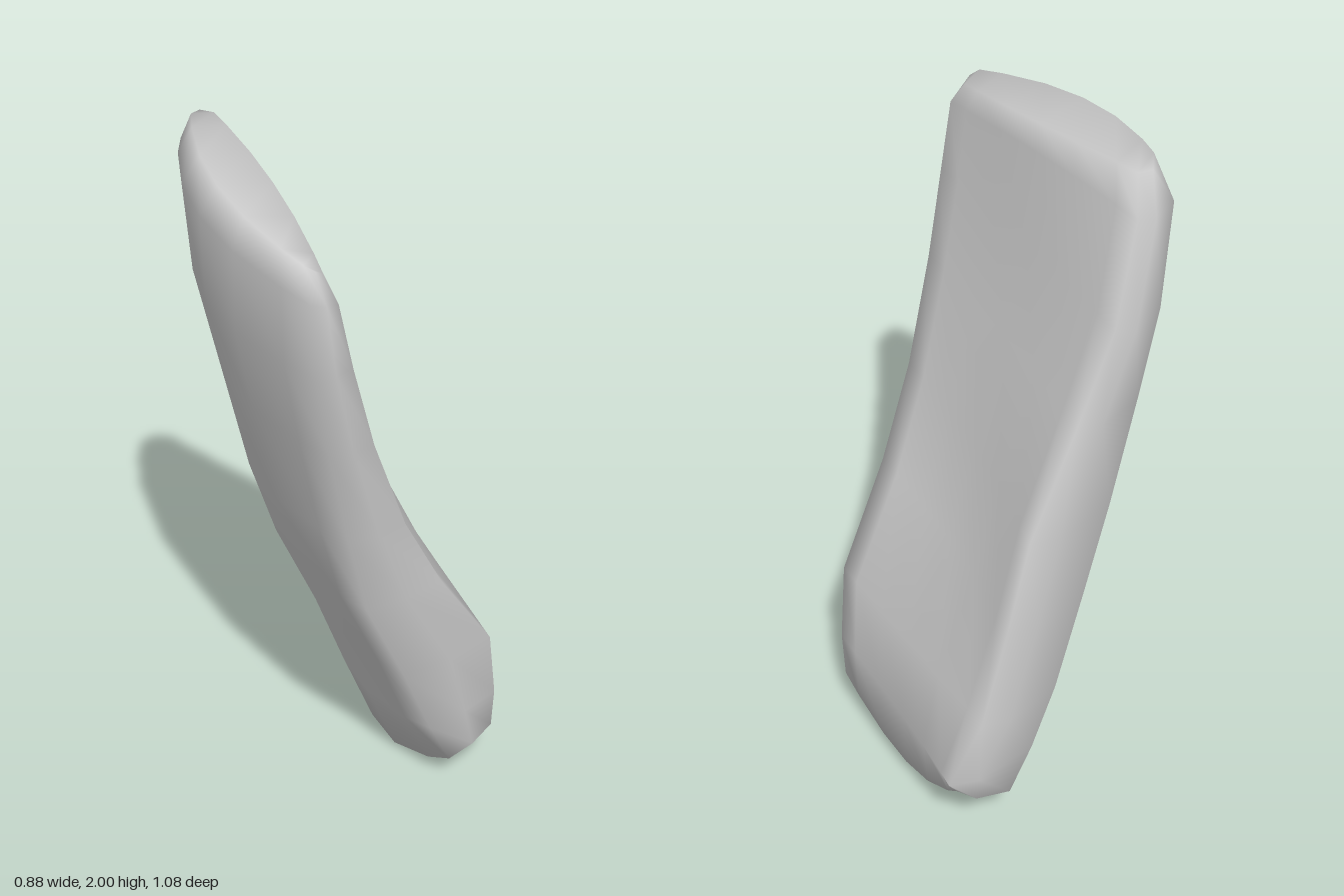
import * as THREE from 'three';

// Each ring: corners [x, y, z] in the order front-left, front-right,
// back-right, back-left as drawn on the plan, then front bulge,
// back hollow and mid-edge drop.
const rings = [
  [[-0.3, 0.2, -0.37], [0.38, 0.1, -0.04], [0.41, 0.16, -0.19], [-0.2, 0.25, -0.49], 0.1, 0.02, 0.147],
  [[-0.335, 0.35, -0.31], [0.39, 0.28, 0.06], [0.425, 0.3, -0.18], [-0.205, 0.32, -0.54], 0.125, 0.03, 0.05],
  [[-0.36, 0.53, -0.23], [0.385, 0.53, 0.17], [0.44, 0.53, -0.13], [-0.27, 0.53, -0.47], 0.13, 0.0, 0],
  [[-0.385, 0.82, -0.13], [0.375, 0.82, 0.31], [0.425, 0.82, 0.07], [-0.3, 0.82, -0.39], 0.14, 0.025, 0],
  [[-0.405, 1.08, -0.04], [0.385, 1.08, 0.39], [0.425, 1.08, 0.22], [-0.315, 1.08, -0.305], 0.145, 0.03, 0],
  [[-0.425, 1.38, 0.05], [0.39, 1.38, 0.465], [0.435, 1.38, 0.35], [-0.36, 1.38, -0.155], 0.135, 0.02, 0],
  [[-0.44, 1.63, 0.12], [0.405, 1.63, 0.525], [0.44, 1.63, 0.43], [-0.395, 1.63, -0.035], 0.13, 0.01, 0],
  [[-0.42, 1.9, 0.2], [0.41, 1.83, 0.54], [0.435, 1.82, 0.475], [-0.38, 1.89, 0.085], 0.11, -0.01, -0.02],
  [[-0.34, 2, 0.23], [0.37, 1.915, 0.525], [0.39, 1.885, 0.48], [-0.34, 1.98, 0.15], 0.07, -0.02, -0.012],
];

// Points from a to b, bowed outward in plan and lowered at the middle
function edge(a, b, bow, drop, steps) {
  const p = new THREE.Vector3(...a), q = new THREE.Vector3(...b);
  const out = new THREE.Vector3(p.z - q.z, 0, q.x - p.x).normalize();
  return steps.map((t) => {
    const k = 4 * t * (1 - t);
    const v = p.clone().lerp(q, t).addScaledVector(out, bow * k);
    v.y -= drop * k;
    return v;
  });
}

function ringPoints([fl, fr, br, bl, bulge, hollow, drop]) {
  const long = [0, 0.1, 0.3, 0.5, 0.7, 0.9];
  return [
    ...edge(fl, fr, bulge, drop, long),
    ...edge(fr, br, 0.012, 0, [0, 0.5]),
    ...edge(br, bl, -hollow, drop, long),
    ...edge(bl, fl, 0.035, 0, [0, 0.3]),
  ];
}

// Skin the rings and close both ends
function loft(sections) {
  const n = sections[0].length, m = sections.length;
  const index = [];
  for (let i = 0; i < m - 1; i++) {
    for (let j = 0; j < n; j++) {
      const a = i * n + j, b = i * n + (j + 1) % n;
      index.push(a, b, a + n, b, b + n, a + n);
    }
  }
  // End caps: strips between the front and back edges
  const cap = (base, flip) => {
    for (let j = 0; j < n / 2 - 1; j++) {
      const a = base + j, b = base + j + 1;
      const c = base + (n - 1 - j), d = base + (n - 2 - j);
      const tris = [[a, b, d], [a, d, c]];
      tris.forEach(([p, q, r]) => index.push(...(flip ? [p, r, q] : [p, q, r])));
    }
  };
  cap(0, true);
  cap((m - 1) * n, false);
  const g = new THREE.BufferGeometry().setFromPoints(sections.flat());
  g.setIndex(index);
  g.computeVertexNormals();
  return g;
}

export function createModel() {
  const group = new THREE.Group();
  group.name = 'leaningSlab';

  // Curved, leaning slab that thickens toward its base
  const material = new THREE.MeshStandardMaterial({ color: 0xcccccc });
  const body = new THREE.Mesh(loft(rings.map(ringPoints)), material);
  body.name = 'slabBody';
  group.add(body);

  // Stand it on the ground, centred
  const box = new THREE.Box3().setFromObject(body);
  const mid = box.getCenter(new THREE.Vector3());
  body.position.set(-mid.x, -box.min.y, -mid.z);
  return group;
}
